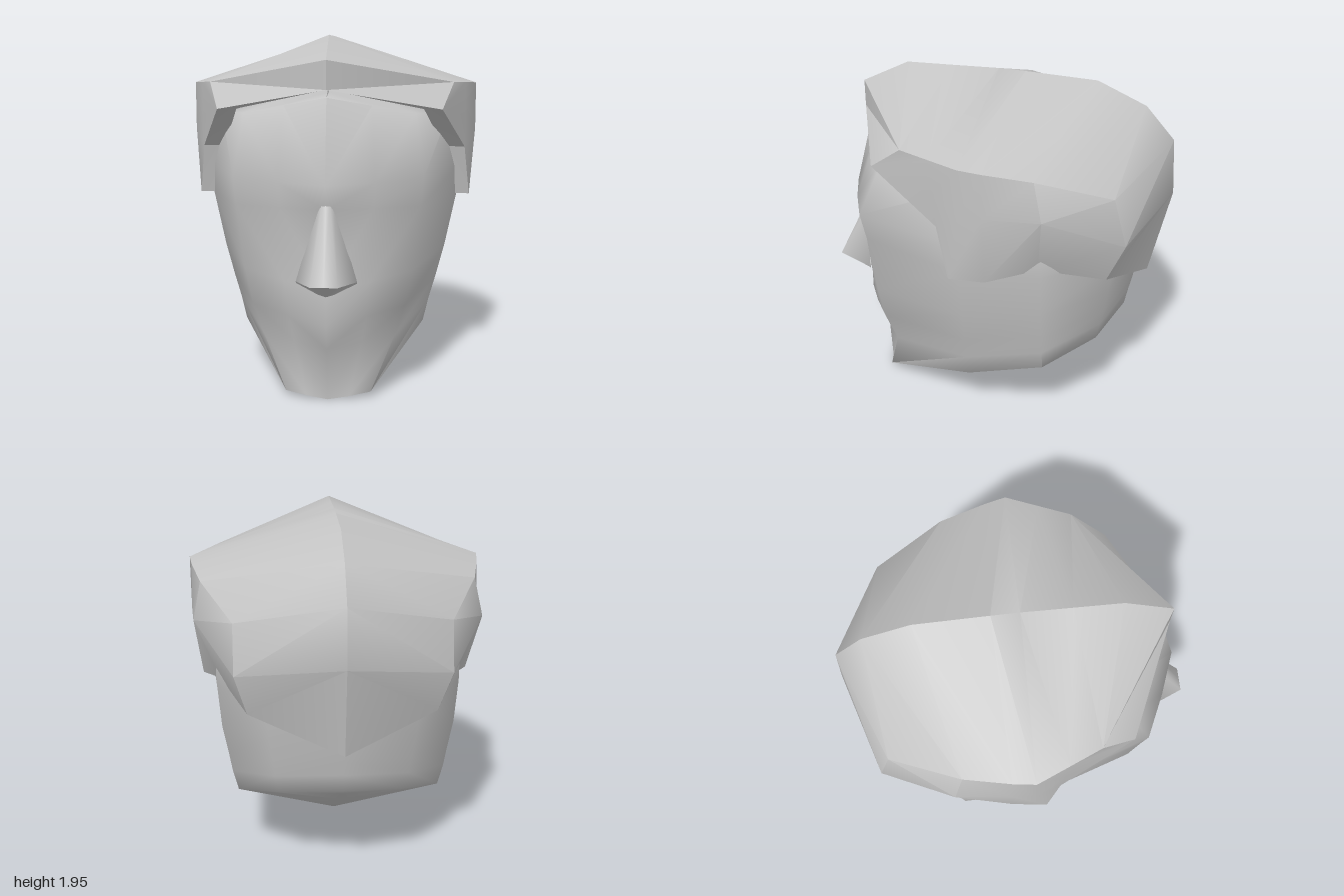
import * as THREE from 'three';
import { toCreasedNormals } from 'three/addons/utils/BufferGeometryUtils.js';

// Skin a grid of points (rows bottom to top, columns front to back) and mirror it over x.
function mirroredSkin(rows, crease) {
  const pos = [];
  const tri = (a, b, c) => {
    const area = new THREE.Triangle(...[a, b, c].map(p => new THREE.Vector3(...p))).getArea();
    if (area < 1e-6) return;
    pos.push(...a, ...b, ...c);
    for (const p of [a, c, b]) pos.push(p[0] === 0 ? 0 : -p[0], p[1], p[2]);
  };
  for (let i = 0; i < rows.length - 1; i++) {
    for (let j = 0; j < rows[i].length - 1; j++) {
      const a = rows[i][j], b = rows[i][j + 1], c = rows[i + 1][j + 1], d = rows[i + 1][j];
      tri(a, b, c);
      tri(a, c, d);
    }
  }
  const g = new THREE.BufferGeometry();
  g.setAttribute('position', new THREE.Float32BufferAttribute(pos, 3));
  return toCreasedNormals(g, crease);
}

// Half a head ring: centre front, cheek corner, side, rear corner and centre back,
// with a slightly bulging point halfway along the face and the back.
function headRing([yf, zf, cx, cy, cz, sx, sy, rx, yb, zb]) {
  const ry = (sy + yb) / 2;
  return [
    [0, yf, zf],
    [cx / 2, (yf + cy) / 2, (zf + cz) / 2 + 0.01],
    [cx, cy, cz],
    [sx, sy, 0.04],
    [rx, ry, -0.4],
    [rx * 0.6, (ry + yb * 2) / 3, zb + 0.11],
    [0, yb, zb],
  ];
}

export function createModel() {
  const group = new THREE.Group();
  const grey = new THREE.MeshStandardMaterial({ color: 0xc4c4c4, side: THREE.DoubleSide });
  grey.name = 'plain grey';
  const add = (name, rows, crease) => {
    const mesh = new THREE.Mesh(mirroredSkin(rows, crease), grey);
    mesh.name = name;
    group.add(mesh);
  };

  // Head: jaw edge up to hairline
  const rings = [
    [0.00, 0.69, 0.23, 0.03, 0.64, 0.53, 0.27, 0.57, 0.56, -0.77],
    [0.30, 0.76, 0.36, 0.32, 0.54, 0.56, 0.40, 0.60, 0.66, -0.79],
    [0.44, 0.83, 0.41, 0.50, 0.59, 0.60, 0.54, 0.62, 0.75, -0.81],
    [0.62, 0.83, 0.45, 0.70, 0.61, 0.65, 0.73, 0.65, 0.87, -0.83],
    [1.05, 0.81, 0.49, 1.05, 0.64, 0.715, 1.04, 0.67, 1.05, -0.86],
    [1.18, 0.88, 0.50, 1.20, 0.67, 0.72, 1.20, 0.67, 1.20, -0.87],
    [1.62, 0.76, 0.46, 1.53, 0.53, 0.66, 1.50, 0.60, 1.42, -0.80],
  ].map(headRing);
  // The underside and crown close on the centre line
  const underY = z => (z > 0.07 ? 0.08 * (0.69 - z) : 0.05 + 0.607 * (0.07 - z));
  const under = rings[0].map(([, , z]) => [0, underY(z), z]);
  const crown = rings[6].map(([, y, z]) => [0, y + 0.2 * (1 - Math.abs(z)), z * 0.8]);
  add('head', [under, ...rings, crown], 1.2);

  // Nose: underside, tip, bridge
  add('nose', [
    [[0, 0.60, 0.83], [0.04, 0.61, 0.82], [0.16, 0.66, 0.77]],
    [[0, 0.69, 1.00], [0.07, 0.69, 1.00], [0.16, 0.67, 0.78]],
    [[0, 1.08, 0.82], [0.02, 1.08, 0.81], [0.04, 1.08, 0.77]],
  ], 1.2);

  // Hair: columns front to back, each going crown, ridge, middle, hem
  const hair = [
    [[0, 1.81, 0.80], [0, 1.81, 0.80], [0, 1.66, 0.80], [0, 1.66, 0.80]],
    [[0, 1.94, 0.53], [0.67, 1.69, 0.35], [0.60, 1.55, 0.54], [0.60, 1.55, 0.54]],
    [[0, 1.942, 0.27], [0.745, 1.685, 0.175], [0.75, 1.50, 0.16], [0.75, 1.32, 0.14]],
    [[0, 1.945, 0], [0.82, 1.68, 0], [0.82, 1.42, 0], [0.785, 1.04, 0.07]],
    [[0, 1.94, -0.15], [0.80, 1.66, -0.12], [0.81, 1.42, -0.12], [0.76, 1.03, -0.12]],
    [[0, 1.92, -0.55], [0.74, 1.62, -0.37], [0.78, 1.42, -0.42], [0.65, 1.08, -0.38]],
    [[0, 1.80, -0.82], [0.56, 1.49, -0.75], [0.56, 1.23, -0.82], [0.50, 0.99, -0.72]],
    [[0, 1.62, -0.98], [0, 1.62, -0.98], [0, 1.31, -1.00], [0, 0.81, -0.89]],
  ];
  // The hem turns inward to meet the head
  const hem = hair.map(([, , , [x, y, z]]) => [x * 0.84, y, z * 0.9]);
  add('hair', [hem, ...[3, 2, 1, 0].map(r => hair.map(col => col[r]))], 0.65);

  return group;
}
